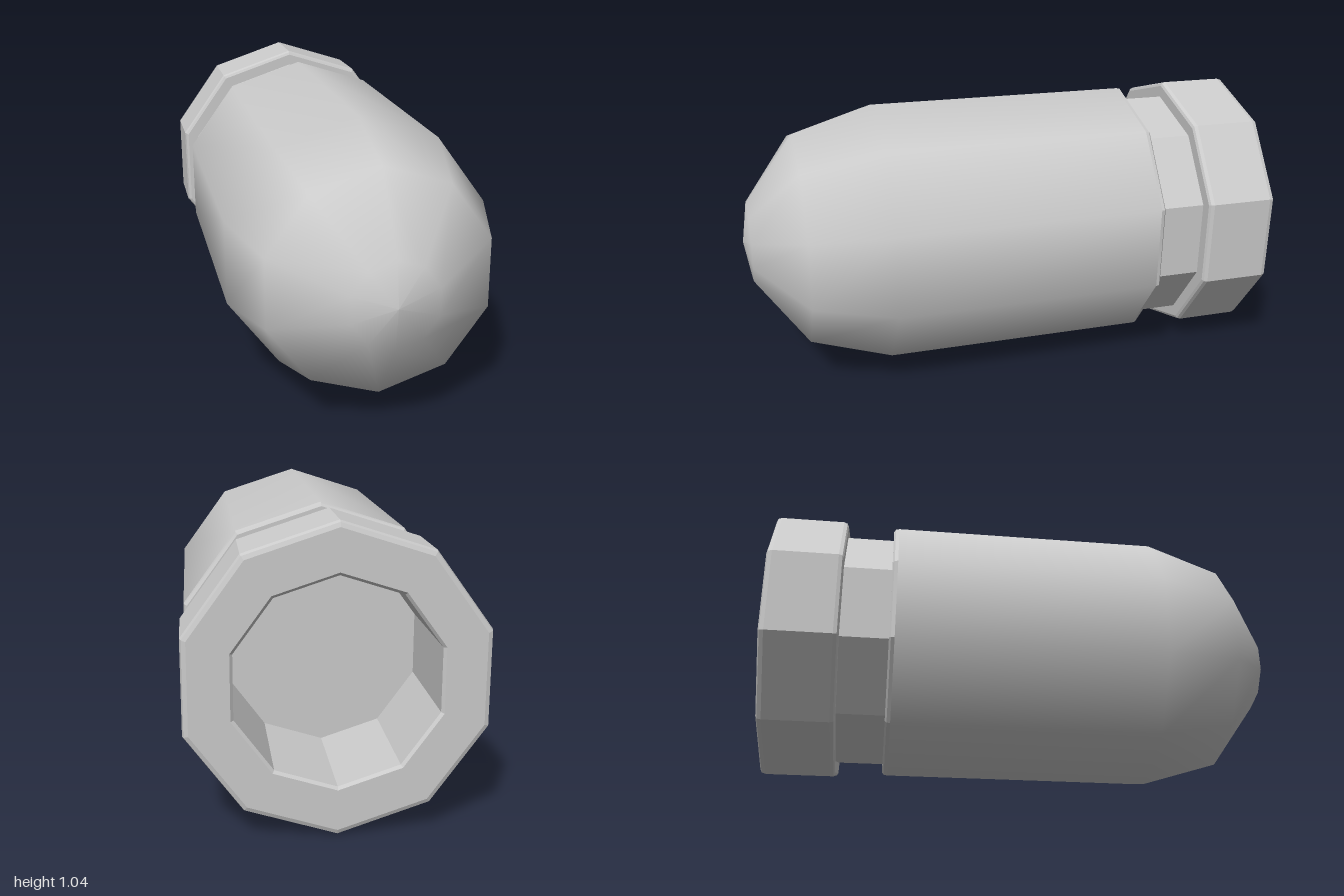
import * as THREE from 'three';

const SIDES = 10;

// Ten-sided turned part; the profile is [radius, z], running from back to front on the outside.
function turned(name, profile, flat) {
  const points = profile.map(([r, z]) => new THREE.Vector2(r, z));
  const geometry = new THREE.LatheGeometry(points, SIDES);
  geometry.rotateX(Math.PI / 2);
  const material = new THREE.MeshStandardMaterial({ color: 0xcccccc, flatShading: flat });
  const mesh = new THREE.Mesh(geometry, material);
  mesh.name = name;
  return mesh;
}

export function createModel() {
  const model = new THREE.Group();
  model.name = 'roundNosedCapsule';

  // Everything shares one axis that tips up very slightly towards the nose
  const axis = new THREE.Group();
  axis.name = 'turnedParts';
  axis.position.y = 0.535;
  axis.rotation.x = -0.011;
  model.add(axis);

  // Smooth body with a domed nose
  axis.add(turned('body', [
    [0.508, -0.52], [0.508, 0.49], [0.415, 0.79], [0.158, 0.975], [0, 1.0],
  ], false));

  // Bevelled shoulder closing the back of the body
  axis.add(turned('shoulder', [
    [0.45, -0.54], [0.495, -0.54], [0.505, -0.533], [0.508, -0.52],
  ], true));

  // Narrow neck between body and collar
  axis.add(turned('neck', [[0.46, -0.725], [0.46, -0.535]], true));

  // Hollow socket with a flat floor
  axis.add(turned('socket', [[0, -0.57], [0.35, -0.57], [0.35, -0.985]], true));

  // Bevelled collar around the socket mouth
  axis.add(turned('collar', [
    [0.35, -0.985], [0.36, -0.994], [0.5, -0.994], [0.515, -0.988], [0.52, -0.973],
    [0.52, -0.735], [0.515, -0.722], [0.505, -0.717], [0.455, -0.717],
  ], true));

  return model;
}
